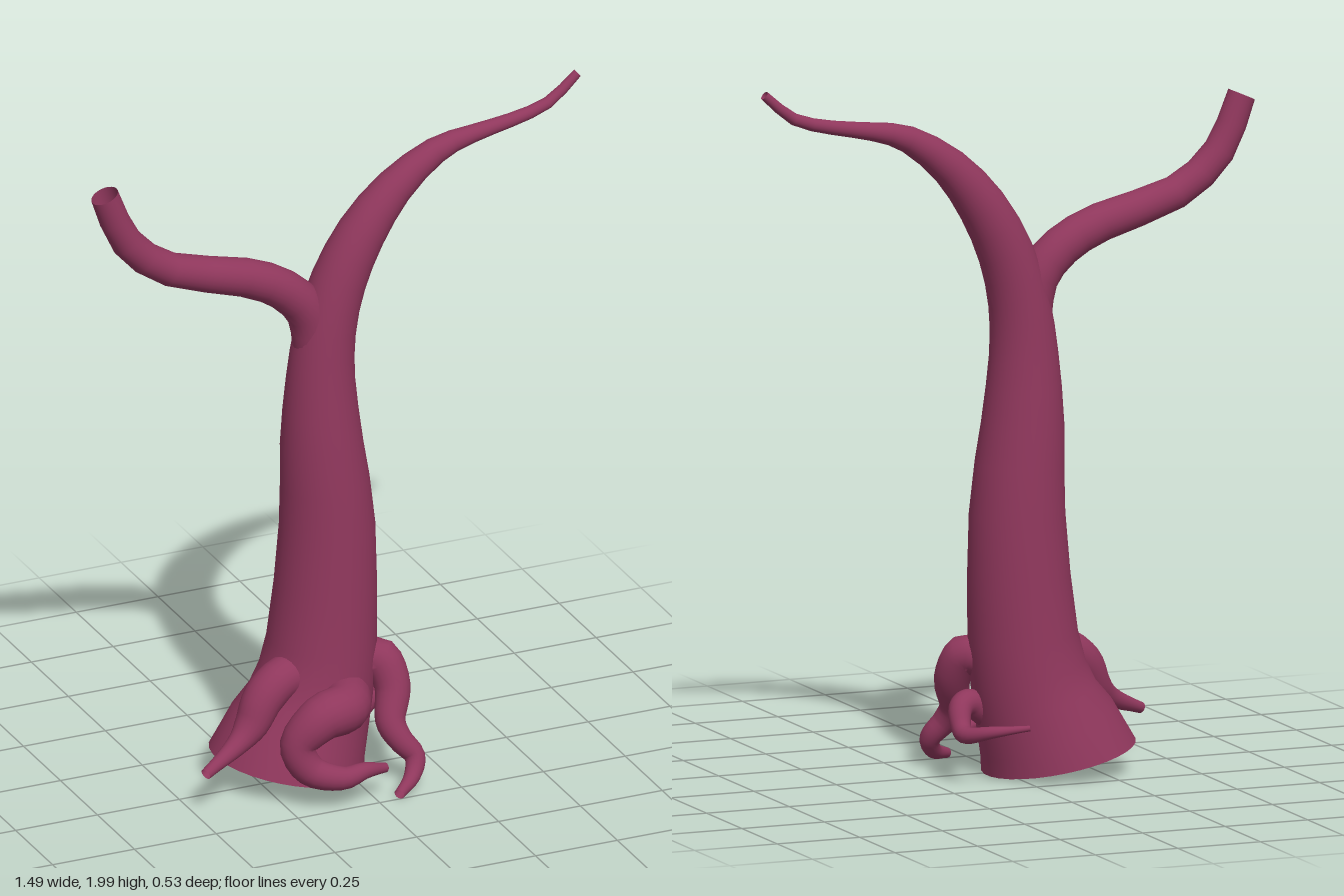
import * as THREE from 'three';

// Open tapered tube through [x, y, z, radius] points; rings stay square to the path.
function taperedTube(points, sides, stepsPerSpan, startDir) {
  const path = new THREE.CatmullRomCurve3(points.map(p => new THREE.Vector3(p[0], p[1], p[2])), false, 'catmullrom', 0.5);
  const radii = new THREE.SplineCurve(points.map((p, i) => new THREE.Vector2(i, p[3])));
  const steps = (points.length - 1) * stepsPerSpan;
  const normal = new THREE.Vector3(0.31, 0.17, 0.93);
  const positions = [], index = [];
  for (let i = 0; i <= steps; i++) {
    const t = i / steps;
    const centre = path.getPoint(t);
    const tangent = i === 0 && startDir ? startDir.clone().normalize() : path.getTangent(t);
    normal.addScaledVector(tangent, -normal.dot(tangent)).normalize();
    const binormal = new THREE.Vector3().crossVectors(tangent, normal);
    const r = radii.getPoint(t).y;
    for (let j = 0; j < sides; j++) {
      const a = (j / sides) * Math.PI * 2;
      const v = centre.clone()
        .addScaledVector(normal, Math.cos(a) * r)
        .addScaledVector(binormal, Math.sin(a) * r);
      positions.push(v.x, v.y, v.z);
      if (i < steps) {
        const k = (j + 1) % sides;
        const p = i * sides + j, q = i * sides + k;
        index.push(p, q, p + sides, q, q + sides, p + sides);
      }
    }
  }
  const geometry = new THREE.BufferGeometry();
  geometry.setAttribute('position', new THREE.Float32BufferAttribute(positions, 3));
  geometry.setIndex(index);
  geometry.computeVertexNormals();
  return geometry;
}

export function createModel() {
  const group = new THREE.Group();
  const bark = new THREE.MeshStandardMaterial({ color: 0x8f375c, side: THREE.DoubleSide });
  bark.name = 'plum bark';

  const add = (name, points, sides, steps, startDir) => {
    const mesh = new THREE.Mesh(taperedTube(points, sides, steps, startDir), bark);
    mesh.name = name;
    group.add(mesh);
  };

  // Trunk, flared at its slanted foot and sweeping into the left branch
  const z = -0.04;
  add('trunk', [
    [-0.155, 0.055, z, 0.22], [-0.085, 0.22, z, 0.176], [-0.047, 0.4, z, 0.155],
    [-0.03, 0.75, z, 0.135], [-0.047, 1.0, z, 0.117], [-0.05, 1.2, z, 0.097],
    [-0.035, 1.35, z, 0.086], [0.005, 1.49, z, 0.078], [0.075, 1.625, z, 0.069],
    [0.175, 1.745, z, 0.054], [0.3, 1.832, z, 0.038], [0.41, 1.862, z, 0.026],
    [0.53, 1.882, z, 0.02], [0.645, 1.914, z, 0.017], [0.735, 1.988, z, 0.013],
  ], 32, 2, new THREE.Vector3(0.2, 0.98, 0));

  // Right branch
  add('branch', [
    [-0.07, 1.29, z, 0.058], [-0.09, 1.41, z, 0.06], [-0.165, 1.495, z, 0.058],
    [-0.285, 1.555, z, 0.055], [-0.51, 1.622, z, 0.048],
    [-0.642, 1.73, z, 0.045], [-0.71, 1.885, z, 0.04],
  ], 24, 2);

  // Curling roots around the foot
  add('rightRoot', [
    [-0.12, 0.32, 0, 0.06], [-0.195, 0.338, 0.025, 0.06], [-0.26, 0.295, 0.04, 0.058],
    [-0.305, 0.225, 0.055, 0.048], [-0.365, 0.18, 0.08, 0.03], [-0.475, 0.135, 0.125, 0.016],
  ], 20, 4);
  add('frontRoot', [
    [-0.03, 0.275, 0.09, 0.07], [-0.07, 0.275, 0.16, 0.07], [-0.15, 0.27, 0.185, 0.066],
    [-0.218, 0.2, 0.18, 0.052], [-0.19, 0.125, 0.2, 0.045],
    [-0.11, 0.1, 0.235, 0.034], [-0.04, 0.11, 0.235, 0.024], [0.035, 0.095, 0.21, 0.014],
  ], 20, 4);
  add('leftRoot', [
    [0.05, 0.33, 0, 0.055], [0.1, 0.345, 0.03, 0.056], [0.12, 0.27, 0.07, 0.051],
    [0.095, 0.19, 0.11, 0.043], [0.11, 0.14, 0.14, 0.036],
    [0.145, 0.09, 0.165, 0.03], [0.12, 0.045, 0.2, 0.023], [0.06, 0.025, 0.25, 0.015],
  ], 20, 4);
  add('backRoot', [
    [0.05, 0.18, -0.02, 0.04], [0.11, 0.22, -0.035, 0.039], [0.15, 0.21, -0.06, 0.034],
    [0.165, 0.165, -0.1, 0.028], [0.165, 0.15, -0.145, 0.024],
    [0.115, 0.165, -0.205, 0.017], [0.015, 0.175, -0.237, 0.008],
  ], 20, 4);

  return group;
}
